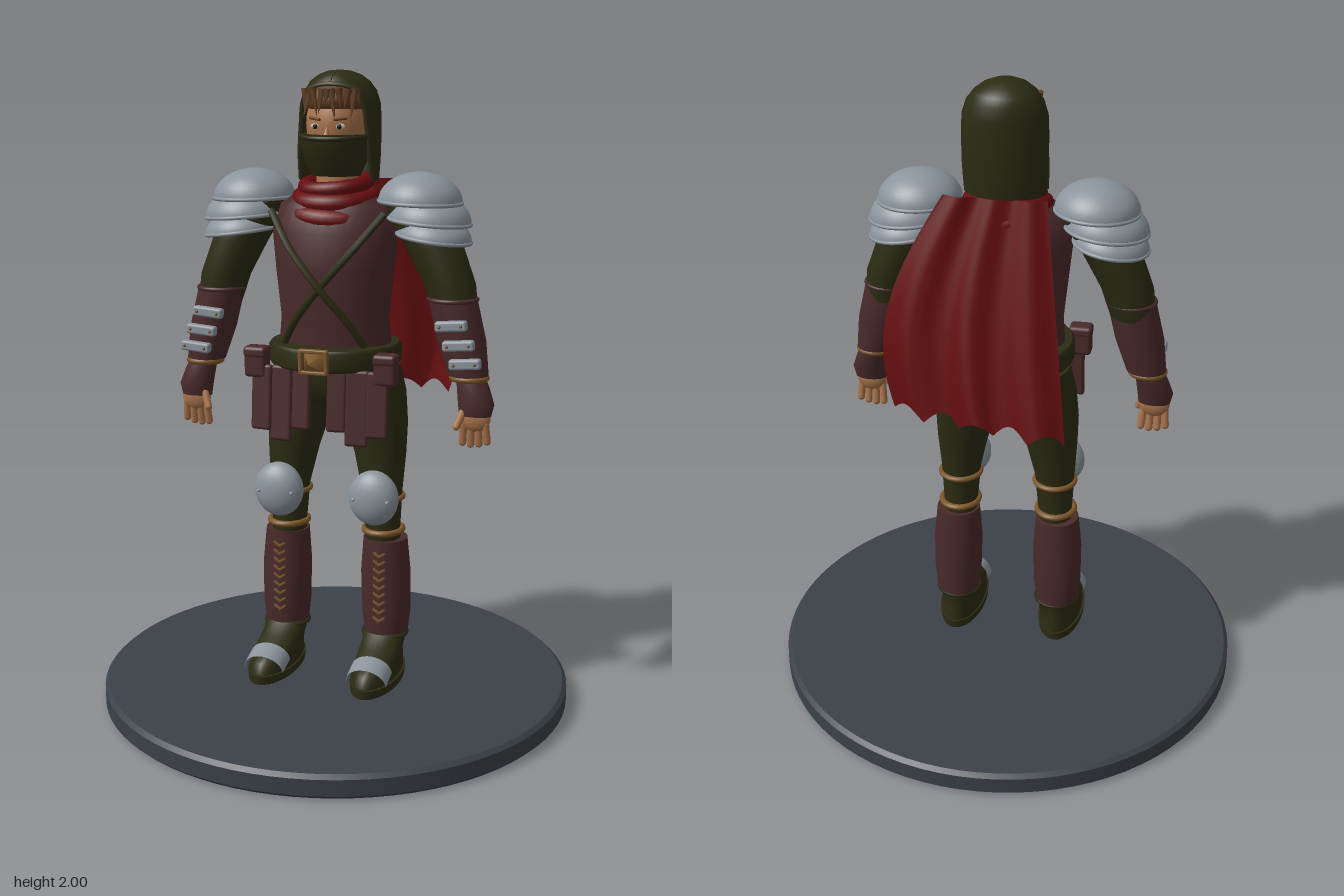
import * as THREE from 'three';
import { toCreasedNormals } from 'three/addons/utils/BufferGeometryUtils.js';
import { RoundedBoxGeometry } from 'three/addons/geometries/RoundedBoxGeometry.js';

const mat = (name, color, side = THREE.FrontSide) => {
  const m = new THREE.MeshStandardMaterial({ color, side });
  m.name = name;
  return m;
};
const M = {
  base: mat('slate', 0x3b4148),
  cloth: mat('olive cloth', 0x2c2b13, THREE.DoubleSide),
  leather: mat('brown leather', 0x4a2a2b),
  metal: mat('steel', 0x8b949c, THREE.DoubleSide),
  red: mat('red cloth', 0x650e10, THREE.DoubleSide),
  skin: mat('skin', 0xa9744c),
  tan: mat('tan strap', 0x7c5629),
  hair: mat('hair', 0x5e3b20),
  dark: mat('dark iris', 0x15110e),
  white: mat('eye white', 0xb9b2a6),
};

// Skin over horizontal ellipses, rows [x, y, z, rx, rz, frontGap], listed upwards
function loft(rows, seg = 28, open = false) {
  const pos = [], idx = [], n = open ? seg + 1 : seg;
  const ring = ([x, y, z, rx, rz, gap = 0]) => {
    for (let j = 0; j < n; j++) {
      const t = gap + (j / seg) * (Math.PI * 2 - 2 * gap);
      pos.push(x + rx * Math.sin(t), y, z + rz * Math.cos(t));
    }
  };
  rows.forEach(ring);
  for (let i = 0; i < rows.length - 1; i++) {
    for (let j = 0; j < seg; j++) {
      const a = i * n + j, b = i * n + ((j + 1) % n);
      idx.push(a, b, b + n, a, b + n, a + n);
    }
  }
  if (!open) {
    [rows[0], rows[rows.length - 1]].forEach((r, k) => {
      const s = pos.length / 3;
      ring(r);
      pos.push(r[0], r[1], r[2]);
      for (let j = 0; j < n; j++) {
        const a = s + j, b = s + ((j + 1) % n);
        idx.push(...(k ? [a, b, s + n] : [b, a, s + n]));
      }
    });
  }
  const g = new THREE.BufferGeometry();
  g.setAttribute('position', new THREE.Float32BufferAttribute(pos, 3));
  g.setIndex(idx);
  g.computeVertexNormals();
  return g;
}

function add(parent, name, geo, material, p = [0, 0, 0], r = [0, 0, 0]) {
  const m = new THREE.Mesh(geo, material);
  m.name = name;
  m.position.set(...p);
  m.rotation.set(...r);
  parent.add(m);
  return m;
}
const ring = (rx, rz, tube) =>
  new THREE.TorusGeometry(rx, tube, 10, 36).rotateX(Math.PI / 2).scale(1, 1, rz / rx);
const ball = (rx, ry, rz) => new THREE.SphereGeometry(1, 24, 16).scale(rx, ry, rz);
const tube = (pts, r) => new THREE.TubeGeometry(
  new THREE.CatmullRomCurve3(pts.map((p) => new THREE.Vector3(...p))), 32, r, 8);
const box = (w, h, d, r = 0.008) => new RoundedBoxGeometry(w, h, d, 2, r);

function buildLeg(s) {
  const g = new THREE.Group();
  g.name = s > 0 ? 'leftLeg' : 'rightLeg';
  const x = 0.168 * s;
  const side = (rows) => loft(rows.map(([cx, ...rest]) => [cx * s, ...rest]));
  add(g, 'trouserLeg', side([[0.168, 0.2, -0.005, 0.058, 0.06], [0.158, 0.57, 0, 0.055, 0.06],
    [0.155, 0.7, 0, 0.064, 0.066], [0.145, 0.82, -0.01, 0.082, 0.08], [0.13, 0.92, -0.015, 0.1, 0.092],
    [0.115, 1.02, -0.02, 0.106, 0.11], [0.1, 1.1, -0.02, 0.1, 0.12]]), M.cloth);
  // Shoe
  add(g, 'sole', side([[0.172, 0.095, 0.09, 0.074, 0.17], [0.172, 0.122, 0.09, 0.077, 0.172]]), M.cloth);
  add(g, 'shoe', side([[0.171, 0.12, 0.087, 0.07, 0.163], [0.171, 0.155, 0.083, 0.069, 0.157],
    [0.17, 0.178, 0.065, 0.066, 0.138], [0.169, 0.2, 0.025, 0.066, 0.095],
    [0.168, 0.235, -0.003, 0.07, 0.074]]), M.cloth);
  add(g, 'toeCap', new THREE.CylinderGeometry(0.066, 0.066, 0.07, 20, 1, true, -Math.PI / 2, Math.PI)
    .rotateX(-Math.PI / 2).scale(1, 0.85, 1), M.metal, [0.171 * s, 0.138, 0.185], [0.3, 0, 0]);
  add(g, 'ankleStrap', ring(0.068, 0.07, 0.008), M.cloth, [x, 0.225, 0]);
  // Greave with front lacing
  add(g, 'greave', side([[0.17, 0.23, -0.007, 0.07, 0.072], [0.17, 0.3, -0.005, 0.078, 0.077],
    [0.168, 0.43, -0.004, 0.08, 0.077], [0.166, 0.545, -0.004, 0.07, 0.073]]), M.leather);
  for (let i = 0; i < 9; i++) {
    for (const k of [-1, 1]) {
      add(g, 'lace', new THREE.BoxGeometry(0.024, 0.006, 0.008), M.tan,
        [x + k * 0.009, 0.29 + i * 0.027, 0.074], [0, 0, k * 0.6]);
    }
  }
  // Knee
  add(g, 'lowerKneeStrap', ring(0.06, 0.066, 0.01), M.tan, [0.16 * s, 0.572, 0]);
  add(g, 'upperKneeStrap', ring(0.064, 0.066, 0.009), M.tan, [0.156 * s, 0.68, -0.003]);
  add(g, 'kneePad', ball(0.08, 0.088, 0.052), M.metal, [0.157 * s, 0.7, 0.098]);
  for (const k of [-1, 1]) add(g, 'kneeRivet', ball(0.006, 0.006, 0.006), M.metal, [(0.157 + k * 0.055) * s, 0.7, 0.137]);
  return g;
}

function buildArm(s) {
  const g = new THREE.Group();
  g.name = s > 0 ? 'leftArm' : 'rightArm';
  const side = (rows) => loft(rows.map(([cx, ...rest]) => [cx * s, ...rest]));
  add(g, 'sleeve', side([[0.385, 1.28, 0.012, 0.07, 0.066], [0.365, 1.37, 0.008, 0.08, 0.074],
    [0.315, 1.48, 0.005, 0.09, 0.078], [0.25, 1.58, 0, 0.085, 0.08], [0.21, 1.64, 0, 0.05, 0.05]]), M.cloth);
  add(g, 'bracer', side([[0.432, 1.095, 0.022, 0.062, 0.056], [0.408, 1.2, 0.018, 0.075, 0.068],
    [0.378, 1.325, 0.015, 0.075, 0.07]]), M.leather);
  add(g, 'elbowTrim', ring(0.073, 0.07, 0.007), M.leather, [0.378 * s, 1.325, 0.015]);
  add(g, 'wristBand', ring(0.052, 0.048, 0.01), M.tan, [0.436 * s, 1.088, 0.024]);
  [[0.393, 1.255], [0.417, 1.197], [0.438, 1.142]].forEach(([x, y]) => {
    add(g, 'bracerPlate', box(0.098, 0.032, 0.03), M.metal, [x * s, y, 0.092], [0, 0, 0.08 * s]);
    for (const k of [-1, 1]) add(g, 'plateRivet', ball(0.005, 0.005, 0.005), M.tan, [(x + k * 0.033) * s, y + k * 0.003, 0.108]);
  });
  // Hand with half glove
  add(g, 'glove', side([[0.46, 0.975, 0.04, 0.05, 0.03], [0.462, 1.01, 0.038, 0.056, 0.038],
    [0.45, 1.06, 0.03, 0.05, 0.042], [0.44, 1.09, 0.025, 0.045, 0.04]]), M.leather);
  add(g, 'palm', ball(0.048, 0.045, 0.024), M.skin, [0.461 * s, 0.968, 0.043]);
  for (let i = 0; i < 4; i++) {
    const len = 0.055 + 0.015 * Math.sin(0.8 + i * 0.7);
    add(g, 'finger', new THREE.CapsuleGeometry(0.012, len, 4, 10), M.skin,
      [(0.424 + i * 0.024) * s, 0.965 - len / 2 - 0.012, 0.042], [0.15, 0, (i - 1.5) * 0.05 * s]);
  }
  add(g, 'thumb', new THREE.CapsuleGeometry(0.012, 0.05, 4, 10), M.skin, [0.418 * s, 0.965, 0.062], [-0.3, 0, -0.35 * s]);
  // Layered shoulder plates
  [[0.268, 1.612, 0.128, 0.09], [0.298, 1.555, 0.127, 0.085], [0.312, 1.505, 0.115, 0.07]].forEach(([x, y, r, h], i) => {
    const tilt = [0, 0, -(0.03 + i * 0.05) * s], rz = 0.126 - i * 0.006;
    add(g, 'shoulderPlate', new THREE.SphereGeometry(1, 36, 12, 0, Math.PI * 2, 0, Math.PI / 2)
      .scale(r, h, rz), M.metal, [x * s, y, 0], tilt);
    add(g, 'shoulderPlateRim', ring(r - 0.002, rz - 0.002, 0.006), M.metal, [x * s, y, 0], tilt);
  });
  return g;
}

function buildHead() {
  const g = new THREE.Group();
  g.name = 'head';
  add(g, 'neck', new THREE.CylinderGeometry(0.06, 0.065, 0.16, 20), M.skin, [0, 1.68, -0.01]);
  add(g, 'face', ball(0.096, 0.13, 0.105), M.skin, [0, 1.84, -0.018]);
  add(g, 'nose', new THREE.ConeGeometry(0.015, 0.055, 8), M.skin, [0, 1.815, 0.088], [-0.25, 0, 0]);
  for (const s of [-1, 1]) {
    add(g, 'eye', ball(0.017, 0.009, 0.006), M.white, [0.038 * s, 1.835, 0.077]);
    add(g, 'iris', ball(0.007, 0.008, 0.004), M.dark, [0.038 * s, 1.835, 0.082]);
    add(g, 'eyebrow', box(0.042, 0.008, 0.012, 0.003), M.hair, [0.04 * s, 1.857, 0.077], [0, 0.35 * s, 0.12 * s]);
  }
  // Fringe of hair locks
  add(g, 'hair', ball(0.098, 0.06, 0.1), M.hair, [0, 1.91, -0.012]);
  for (let i = 0; i < 11; i++) {
    const a = (i - 5) * 0.2, len = 0.07 + 0.025 * Math.sin(i * 2.3);
    add(g, 'hairLock', new THREE.ConeGeometry(0.013, len, 6), M.hair,
      [0.1 * Math.sin(a), 1.945 - len / 2, -0.012 + 0.102 * Math.cos(a)], [Math.PI - 0.15, 0, 0.25 * Math.sin(i * 1.7)]);
  }
  add(g, 'faceMask', loft([[0, 1.685, -0.005, 0.075, 0.07], [0, 1.73, 0.002, 0.097, 0.088],
    [0, 1.78, 0.005, 0.107, 0.103], [0, 1.81, 0.004, 0.108, 0.108]]), M.cloth);
  add(g, 'maskFold', ring(0.104, 0.104, 0.008), M.cloth, [0, 1.805, 0.004], [0.06, 0, 0]);
  // Hood and its rolled rim
  const rows = [[0, 1.67, -0.04, 0.122, 0.095, 1.25], [0, 1.75, -0.04, 0.127, 0.105, 1.08],
    [0, 1.84, -0.042, 0.128, 0.106, 0.95], [0, 1.9, -0.042, 0.125, 0.106, 0.88], [0, 1.94, -0.042, 0.112, 0.103, 0.72],
    [0, 1.965, -0.04, 0.093, 0.092, 0.02], [0, 1.985, -0.038, 0.066, 0.068, 0.01], [0, 1.997, -0.036, 0.034, 0.036, 0],
    [0, 2, -0.035, 0.002, 0.002, 0]];
  add(g, 'hood', loft(rows, 40, true), M.cloth);
  const edge = (s) => rows.slice(0, 5).map(([, y, z, rx, rz, t]) => [s * rx * Math.sin(t), y, z + rz * Math.cos(t)]);
  add(g, 'hoodRim', tube([...edge(-1), [0, 1.958, 0.052], ...edge(1).reverse()], 0.009), M.cloth);
  return g;
}

function buildCape() {
  const geo = new THREE.PlaneGeometry(1, 1, 60, 24), p = geo.attributes.position;
  for (let i = 0; i < p.count; i++) {
    const u = p.getX(i) + 0.5, v = 0.5 - p.getY(i);
    const left = -0.14 - 0.085 * v, right = 0.17 + 0.185 * Math.sin(v * 2.2);
    const hem = 0.95 + 0.035 * Math.abs(Math.sin(u * Math.PI * 5)) + 0.04 * u;
    const fold = 0.018 * Math.cos(u * Math.PI * 6) * (0.4 + 0.6 * v);
    p.setXYZ(i, left + (right - left) * u, 1.67 + (hem - 1.67) * v, -0.125 - 0.145 * v + fold + 0.07 * u * u * u * v);
  }
  geo.computeVertexNormals();
  return geo;
}

export function createModel() {
  const g = new THREE.Group();
  g.name = 'hoodedRogue';
  const disc = [[0, 0], [0.74, 0], [0.753, 0.012], [0.753, 0.063], [0.74, 0.075], [0, 0.075]];
  add(g, 'base', toCreasedNormals(new THREE.LatheGeometry(disc.map((p) => new THREE.Vector2(...p)), 80), 0.5), M.base);

  // Trunk
  add(g, 'hips', loft([[0, 0.95, -0.015, 0.04, 0.05], [0, 0.99, -0.015, 0.11, 0.095],
    [0, 1.05, -0.01, 0.185, 0.125], [0, 1.17, -0.005, 0.185, 0.122]]), M.cloth);
  add(g, 'vest', loft([[0, 1.14, 0.005, 0.182, 0.125], [0, 1.25, 0.008, 0.172, 0.127], [0, 1.4, 0.01, 0.187, 0.142],
    [0, 1.52, 0.005, 0.2, 0.138], [0, 1.6, 0, 0.175, 0.115], [0, 1.66, 0, 0.08, 0.08]]), M.leather);
  for (const s of [-1, 1]) {
    add(g, 'chestStrap', tube([[-0.18 * s, 1.58, 0.085], [-0.1 * s, 1.475, 0.145], [0, 1.36, 0.163 + s * 0.005],
      [0.08 * s, 1.26, 0.143], [0.13 * s, 1.18, 0.11]], 0.012), M.cloth);
  }

  // Belt, buckle, pouches and hanging leather strips
  add(g, 'belt', loft([[0, 1.108, 0.005, 0.2, 0.198], [0, 1.118, 0.005, 0.208, 0.206],
    [0, 1.165, 0.005, 0.208, 0.206], [0, 1.175, 0.005, 0.2, 0.198]], 40), M.cloth);
  for (const s of [-1, 1]) {
    add(g, 'buckleSide', box(0.012, 0.075, 0.02, 0.004), M.tan, [0.041 * s, 1.143, 0.213]);
    add(g, 'buckleBar', box(0.09, 0.012, 0.02, 0.004), M.tan, [0, 1.143 + 0.033 * s, 0.213]);
    add(g, 'beltPouch', box(0.07, 0.09, 0.055, 0.012), M.leather, [0.208 * s, 1.118, 0.145]);
    add(g, 'pouchFlap', box(0.074, 0.035, 0.06, 0.012), M.leather, [0.208 * s, 1.152, 0.146]);
    [[0.186, 0.068, 0.205], [0.122, 0.072, 0.235], [0.057, 0.062, 0.195]].forEach(([x, w, h]) => {
      add(g, 'hangingStrip', box(w, h, 0.022, 0.01), M.leather, [x * s, 1.115 - h / 2, 0.162], [-0.08, 0.12 * s, 0]);
    });
  }
  add(g, 'buckleStud', new THREE.ConeGeometry(0.045, 0.05, 4).rotateY(Math.PI / 4).rotateX(Math.PI / 2),
    M.tan, [0, 1.143, 0.233]);

  // Scarf and cape
  [[1.575, 0.118, 0.108, 0.034], [1.62, 0.108, 0.1, 0.03], [1.66, 0.095, 0.088, 0.024]].forEach(([y, rx, rz, t], i) => {
    add(g, 'scarfFold', ring(rx, rz, t), M.red, [0, y, 0], [0.14, 0, (i - 1) * 0.06]);
  });
  add(g, 'cape', buildCape(), M.red);

  for (const s of [-1, 1]) g.add(buildLeg(s), buildArm(s));
  g.add(buildHead());
  return g;
}
